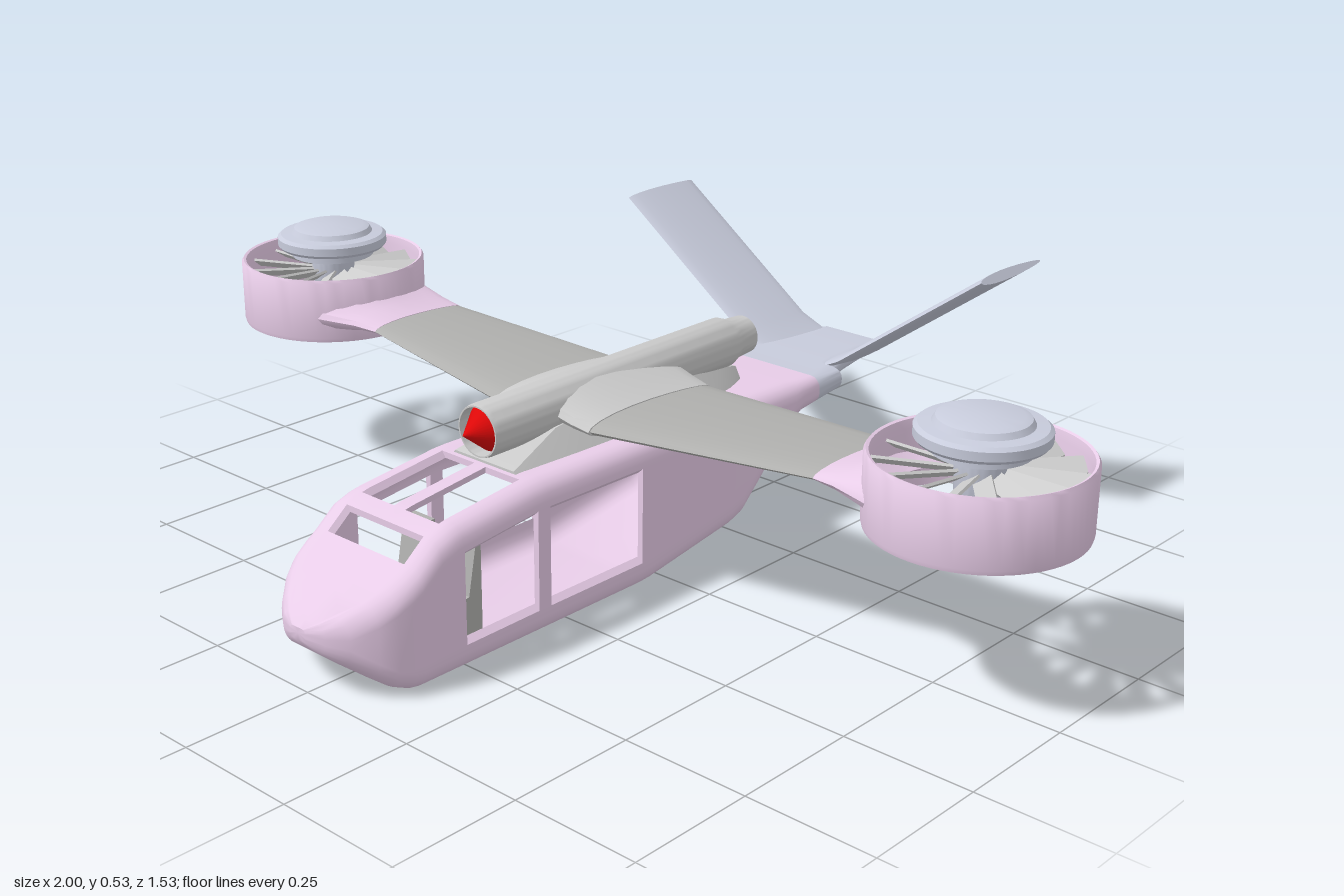
import * as THREE from 'three';
import { toCreasedNormals } from 'three/addons/utils/BufferGeometryUtils.js';

const V = (x, y, z) => new THREE.Vector3(x, y, z);
const mat = (color) => new THREE.MeshStandardMaterial({ color, side: THREE.DoubleSide });
const pink = mat(0xe8cde8), lilac = mat(0xc8ccdc), light = mat(0xcccccc), grey = mat(0xb0b0ae), red = mat(0xdd0808);

function add(parent, name, geometry, material) {
  const mesh = new THREE.Mesh(geometry, material);
  mesh.name = name;
  parent.add(mesh);
  return mesh;
}

// Skin over closed rings; inner rings and a hole test give a shell with openings
function loft(rings, inner = null, hole = () => false, crease = 0.6) {
  const out = [], n = rings[0].length, m = rings.length - 1;
  const quad = (a, b, c, d) => [a, b, c, a, c, d].forEach((p) => out.push(p.x, p.y, p.z));
  for (let i = 0; i < m; i++) {
    for (let j = 0; j < n; j++) {
      const k = (j + 1) % n, open = hole(i, j);
      if (!open) {
        quad(rings[i][j], rings[i + 1][j], rings[i + 1][k], rings[i][k]);
        if (inner) quad(inner[i][j], inner[i][k], inner[i + 1][k], inner[i + 1][j]);
      }
      // Rims between open and closed cells
      if (inner && open !== hole(i, k)) quad(rings[i][k], rings[i + 1][k], inner[i + 1][k], inner[i][k]);
      if (inner && i + 1 < m && open !== hole(i + 1, j)) quad(rings[i + 1][j], rings[i + 1][k], inner[i + 1][k], inner[i + 1][j]);
    }
  }
  // End caps
  const cap = (ring, flip) => {
    const c = ring.reduce((s, p) => s.add(p), V(0, 0, 0)).divideScalar(n);
    ring.forEach((p, j) => {
      const q = ring[(j + 1) % n];
      (flip ? [c, q, p] : [c, p, q]).forEach((v) => out.push(v.x, v.y, v.z));
    });
  };
  cap(rings[0], false);
  cap(rings[m], true);
  const g = new THREE.BufferGeometry();
  g.setAttribute('position', new THREE.Float32BufferAttribute(out, 3));
  return toCreasedNormals(g, crease);
}

// Rounded box section of the fuselage, from bottom centre up the left side and back
function section([z, yb, yt, w], inset = 0) {
  const t = Math.min(inset, (yt - yb) * 0.2, w * 0.2);
  yb += t; yt -= t; w -= t;
  const r = Math.min(0.036, (yt - yb) * 0.42, w * 0.4), h = yt - yb - 2 * r;
  const half = [[0, yb]];
  const arc = (cy, a0) => {
    for (let i = 0; i <= 4; i++) {
      const a = a0 + (i * Math.PI) / 8;
      half.push([w - r + r * Math.cos(a), cy + r * Math.sin(a)]);
    }
  };
  arc(yb + r, -Math.PI / 2);
  half.push([w, yb + r + h * 0.08], [w, yb + r + h * 0.95]);
  arc(yt - r, 0);
  half.push([w * 0.68, yt], [w * 0.1, yt], [0, yt]);
  const mirrored = half.slice(1, -1).reverse().map(([x, y]) => [-x, y]);
  return [...half, ...mirrored].map(([x, y]) => V(x, y, z));
}

// Aerofoil ring across x; tilt leans its thickness, bend may shift x by z
function foil(s, x, y, z0, z1, t, tilt = 0, bend = null) {
  return Array.from({ length: 20 }, (_, i) => {
    const a = (i / 20) * Math.PI * 2, c = Math.cos(a);
    const z = (z0 + z1) / 2 - ((z1 - z0) / 2) * c;
    const d = (t / 2) * Math.sin(a) * (1 - 0.3 * c);
    return V(s * ((bend ? bend(z) : x) - d * Math.sin(tilt)), y + d * Math.cos(tilt), z);
  });
}
// Rings are listed from the tip inwards
const span = (s, rings) => loft(s > 0 ? rings : rings.reverse());

const lathe = (pts, seg = 48) =>
  toCreasedNormals(new THREE.LatheGeometry(pts.map(([r, y]) => new THREE.Vector2(r, y)), seg), 0.6);

function buildFuselage(parent) {
  const body = [ // z, bottom, top, half width
    [0.763, 0.105, 0.128, 0.02], [0.75, 0.085, 0.14, 0.055], [0.725, 0.064, 0.155, 0.09],
    [0.69, 0.037, 0.175, 0.122], [0.66, 0.015, 0.193, 0.138], [0.63, 0.003, 0.21, 0.144],
    [0.61, 0, 0.222, 0.145], [0.565, 0, 0.258, 0.145], [0.53, 0, 0.27, 0.145], [0.515, 0, 0.273, 0.145],
    [0.34, 0, 0.292, 0.145], [0.31, 0, 0.293, 0.145], [0.07, 0, 0.29, 0.145], [0.04, 0.002, 0.29, 0.145],
    [-0.19, 0.038, 0.286, 0.145], [-0.225, 0.05, 0.285, 0.145], [-0.385, 0.2, 0.28, 0.142],
    [-0.41, 0.214, 0.279, 0.141], [-0.46, 0.222, 0.277, 0.14]];
  const n = section(body[0]).length;
  // Side doors, roof windows and windscreen
  const hole = (i, j) => {
    const k = Math.min(j, n - 1 - j), z = (body[i][0] + body[i + 1][0]) / 2;
    if (k === 6) return (z < 0.515 && z > 0.34) || (z < 0.31 && z > 0.07);
    if (k === 13) return (z < 0.53 && z > 0.34) || (z < 0.61 && z > 0.565);
    return k === 14 && z < 0.61 && z > 0.565;
  };
  add(parent, 'fuselage', loft(body.map((b) => section(b)), body.map((b) => section(b, 0.012)), hole), pink);

  const tail = [[-0.46, 0.222, 0.277, 0.14], [-0.535, 0.232, 0.274, 0.138], [-0.545, 0.234, 0.274, 0.112],
    [-0.6, 0.24, 0.272, 0.092], [-0.68, 0.247, 0.268, 0.082], [-0.745, 0.252, 0.264, 0.083], [-0.763, 0.254, 0.262, 0.078]];
  add(parent, 'tailBoom', loft(tail.map((b) => section(b))), lilac);

  // Crew seats from a side profile
  const shape = new THREE.Shape([[0.505, 0.012], [0.505, 0.085], [0.49, 0.1], [0.46, 0.106], [0.44, 0.21],
    [0.43, 0.21], [0.43, 0.012]].map(([z, y]) => new THREE.Vector2(z, y)));
  for (const s of [1, -1]) {
    const g = new THREE.ExtrudeGeometry(shape, { depth: 0.07, bevelEnabled: false });
    g.translate(0, 0, -0.035).rotateY(-Math.PI / 2);
    add(parent, s > 0 ? 'leftSeat' : 'rightSeat', g, grey).position.x = s * 0.058;
  }
}

function buildEngine(parent) {
  // Open tube, tapering to the exhaust
  const pod = lathe([[0, -0.34], [0.032, -0.34], [0.032, -0.385], [0.038, -0.385], [0.041, -0.34], [0.05, -0.315],
    [0.05, 0.335], [0.048, 0.345], [0.045, 0.345], [0.045, 0.31], [0, 0.31]]);
  add(parent, 'enginePod', pod.rotateX(Math.PI / 2), light).position.y = 0.356;
  const cone = new THREE.ConeGeometry(0.044, 0.058, 32).rotateX(Math.PI / 2);
  add(parent, 'spinner', cone, red).position.set(0, 0.358, 0.351);
  // Pylon between roof and pod: z, base half width, top half width, top height
  const pylon = [[0.33, 0.092, 0.075, 0.297], [0.2, 0.095, 0.05, 0.335], [0.1, 0.095, 0.045, 0.345], [-0.1, 0.092, 0.045, 0.345],
    [-0.2, 0.08, 0.04, 0.335], [-0.28, 0.06, 0.03, 0.32], [-0.34, 0.035, 0.02, 0.305]];
  add(parent, 'pylon', loft(pylon.map(([z, b, t, h]) => [V(-b, 0.278, z), V(b, 0.278, z), V(t, h, z), V(-t, h, z)])), light);
}

function buildFan(parent, s) {
  const fan = new THREE.Group();
  fan.name = s > 0 ? 'leftFan' : 'rightFan';
  fan.position.set(s * 0.81, 0, -0.008);
  parent.add(fan);
  add(fan, 'duct', lathe([[0.178, 0.31], [0.188, 0.307], [0.19, 0.315], [0.19, 0.432], [0.186, 0.438],
    [0.181, 0.436], [0.178, 0.42], [0.178, 0.31]], 64), pink);
  add(fan, 'hub', lathe([[0, 0.318], [0.03, 0.322], [0.04, 0.34], [0.045, 0.43], [0.085, 0.442], [0.085, 0.458],
    [0.108, 0.46], [0.113, 0.466], [0.113, 0.482], [0.106, 0.488], [0.084, 0.49], [0.078, 0.5], [0.066, 0.504], [0, 0.504]]), lilac);
  const spokes = (name, count, length, height, width, y, pitch, material) => {
    for (let i = 0; i < count; i++) {
      const g = new THREE.BoxGeometry(length, height, width).rotateX(pitch);
      g.translate(0.179 - length / 2, y, 0).rotateY((i / count) * Math.PI * 2);
      add(fan, name, g, material);
    }
  };
  spokes('blade', 14, 0.14, 0.005, 0.034, 0.405, 0.6, light);
  spokes('strut', 8, 0.165, 0.018, 0.01, 0.33, 0, pink);
}

export function createModel() {
  const model = new THREE.Group();
  model.name = 'tiltFanAircraft';
  buildFuselage(model);
  buildEngine(model);
  for (const s of [1, -1]) {
    const side = s > 0 ? 'left' : 'right';
    buildFan(model, s);
    add(model, side + 'Wing', span(s, [
      foil(s, 0.56, 0.352, -0.13, 0.1, 0.022), foil(s, 0.115, 0.341, -0.14, 0.185, 0.036)]), grey);
    add(model, side + 'WingRoot', span(s, [
      foil(s, 0.12, 0.341, -0.143, 0.188, 0.04), foil(s, 0.08, 0.348, -0.147, 0.192, 0.052),
      foil(s, 0.02, 0.362, -0.15, 0.195, 0.072)]), light);
    // Flare that follows the round duct wall
    const wall = (z) => 0.81 - Math.sqrt(0.186 ** 2 - (z + 0.008) ** 2);
    add(model, side + 'WingTip', span(s, [
      foil(s, 0, 0.358, -0.16, 0.142, 0.06, 0, wall), foil(s, 0.605, 0.356, -0.136, 0.112, 0.04),
      foil(s, 0.555, 0.352, -0.131, 0.101, 0.024)]), pink);
    // V-tail fin
    add(model, side + 'TailFin', span(s, [
      foil(s, 0.45, 0.523, -0.742, -0.537, 0.02, 0.62), foil(s, 0.125, 0.288, -0.742, -0.537, 0.02, 0.62),
      foil(s, 0.06, 0.256, -0.75, -0.535, 0.014, 0.4)]), lilac);
  }
  return model;
}
